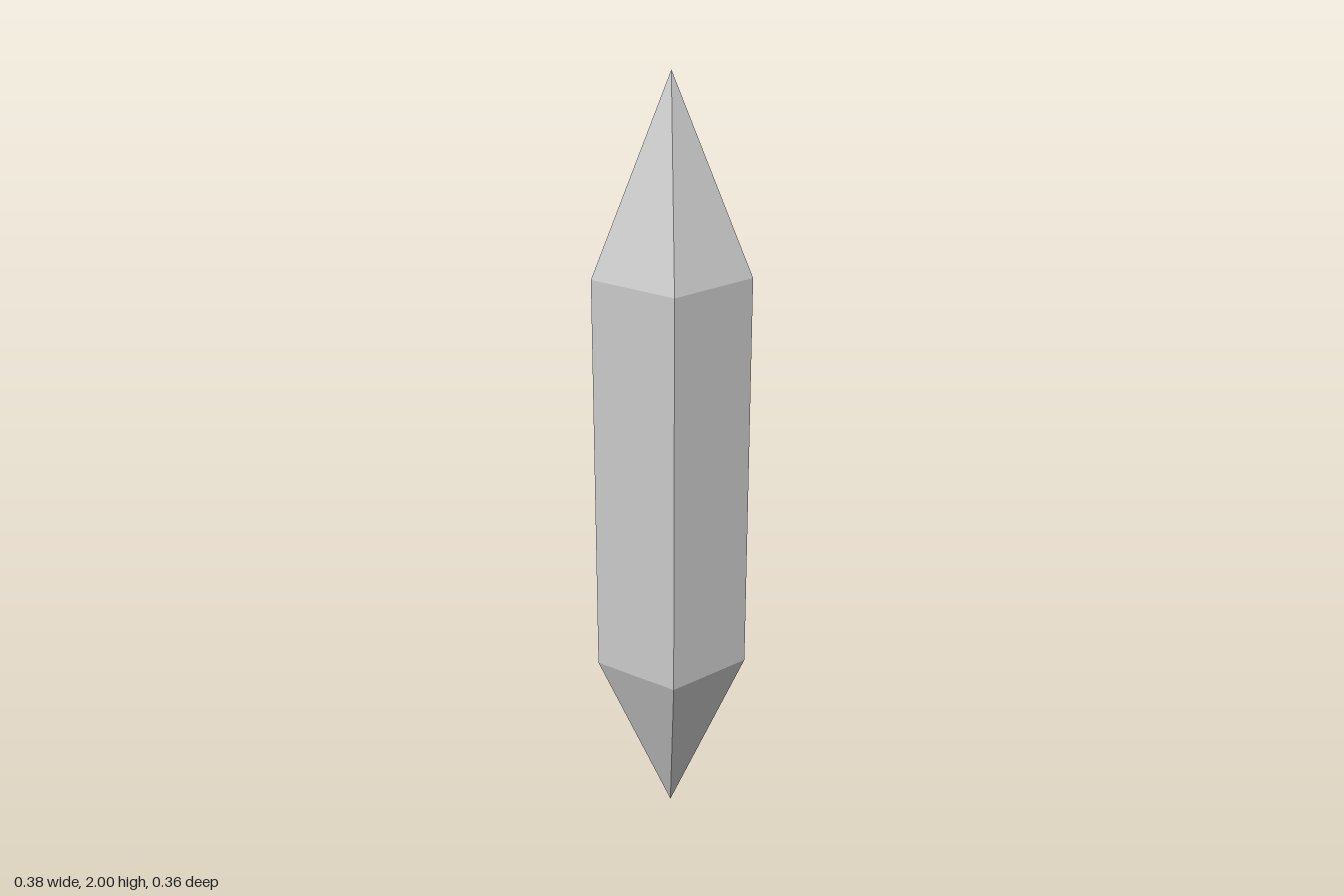
import * as THREE from 'three';

const SIDES = 5;
const RADIUS = 0.2;
const LOWER = 0.48;  // shoulder heights of the prism
const UPPER = 1.525;
const CENTRE_Z = 0.019; // centres the pentagon's bounds on z = 0

export function createModel() {
  const crystal = new THREE.Group();
  crystal.name = 'crystal';
  const material = new THREE.MeshStandardMaterial({ color: 0xcccccc, flatShading: true });

  // One open five-sided section, with a corner pointing to the back
  function addSection(name, topRadius, bottomRadius, y0, y1) {
    const geometry = new THREE.CylinderGeometry(
      topRadius, bottomRadius, y1 - y0, SIDES, 1, true, Math.PI);
    geometry.translate(0, (y0 + y1) / 2, CENTRE_Z);
    const mesh = new THREE.Mesh(geometry, material);
    mesh.name = name;
    crystal.add(mesh);
  }

  addSection('lowerPoint', RADIUS, 0, 0, LOWER);
  addSection('shaft', RADIUS, RADIUS, LOWER, UPPER);
  addSection('upperPoint', 0, RADIUS, UPPER, 2);

  return crystal;
}
